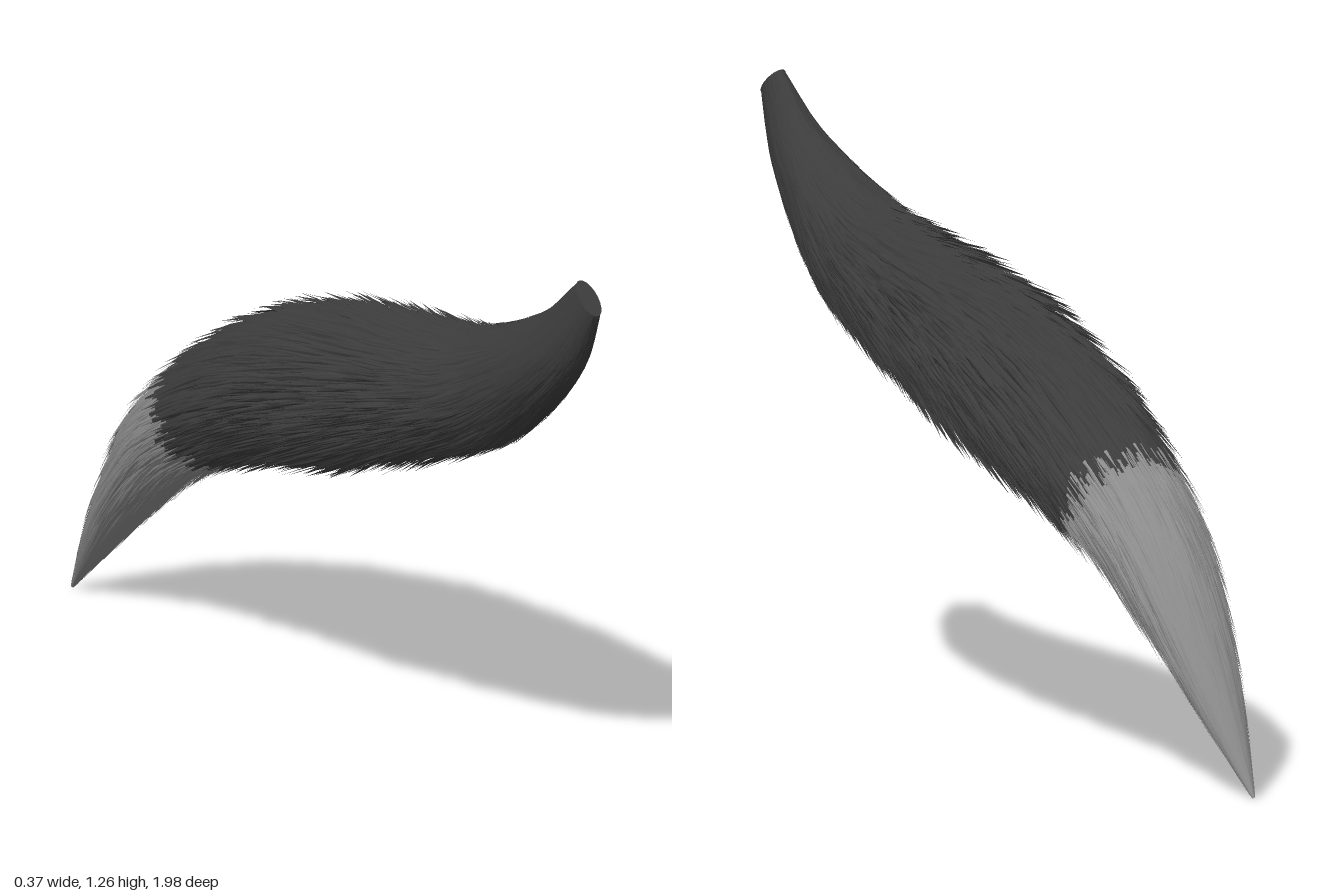
import * as THREE from 'three';

// spine stations: z, y, half width, half thickness
const STATIONS = [
  [0.952, 1.23, 0.022, 0.045], [0.83, 1.085, 0.062, 0.08], [0.6, 0.935, 0.118, 0.125],
  [0.4, 0.865, 0.148, 0.152], [0.2, 0.81, 0.165, 0.172], [0, 0.75, 0.174, 0.182],
  [-0.2, 0.68, 0.172, 0.168], [-0.4, 0.585, 0.155, 0.14], [-0.6, 0.455, 0.125, 0.105],
  [-0.8, 0.245, 0.075, 0.055], [-0.99, 0.005, 0.004, 0.004],
];
const spine = new THREE.CatmullRomCurve3(STATIONS.map(([z, y]) => new THREE.Vector3(0, y, z)), false, 'catmullrom');
const girth = new THREE.CatmullRomCurve3(STATIONS.map(([, , w, h]) => new THREE.Vector3(w, h, 0)), false, 'catmullrom');
const COLOUR_SPLIT = 0.735;

// cross-section frames, sampled once along the tail
const FRAMES = 500;
const frames = Array.from({ length: FRAMES + 1 }, (_, i) => {
  const t = i / FRAMES, p = spine.getPoint(t), d = spine.getTangent(t), g = girth.getPoint(t);
  return { y: p.y, z: p.z, ny: -d.z, nz: d.y, w: g.x, h: g.y };
});

// point at spine parameter t, angle a, radius factor f
function onTail(t, a, f) {
  const k = frames[Math.round(THREE.MathUtils.clamp(t, 0, 1) * FRAMES)];
  const n = Math.sin(a) * k.h * f;
  return [Math.cos(a) * k.w * f, k.y + k.ny * n, k.z + k.nz * n];
}

function seeded(seed) {
  return () => {
    seed = (seed + 0x6d2b79f5) | 0;
    let r = Math.imul(seed ^ (seed >>> 15), 1 | seed);
    r = (r + Math.imul(r ^ (r >>> 7), 61 | r)) ^ r;
    return ((r ^ (r >>> 14)) >>> 0) / 4294967296;
  };
}

function quad(out, a, b, c, d) {
  out.push(...a, ...b, ...c, ...a, ...c, ...d);
}

function toMesh(name, positions, material) {
  const g = new THREE.BufferGeometry();
  g.setAttribute('position', new THREE.Float32BufferAttribute(positions, 3));
  g.computeVertexNormals();
  const m = new THREE.Mesh(g, material);
  m.name = name;
  return m;
}

// solid body under the fur, between two spine parameters
function coreStrip(t0, t1, rings) {
  const out = [], sides = 20;
  const f = t => 0.96 - 0.18 * Math.min(1, t * 5);
  for (let i = 0; i < rings; i++) {
    const ta = t0 + (t1 - t0) * i / rings, tb = t0 + (t1 - t0) * (i + 1) / rings;
    for (let j = 0; j < sides; j++) {
      const a = j / sides * Math.PI * 2, b = (j + 1) / sides * Math.PI * 2;
      quad(out, onTail(ta, a, f(ta)), onTail(tb, a, f(tb)), onTail(tb, b, f(tb)), onTail(ta, b, f(ta)));
    }
  }
  return out;
}

// tapered, ridged hair locks that lie along the body and lift at their tips
function furLocks(count) {
  const dark = [], pale = [], rand = seeded(7), steps = 4;
  for (let i = 0; i < count; i++) {
    const root = 0.89 * (i + rand()) / count;
    const angle = rand() * Math.PI * 2;
    const length = 0.085 + 0.06 * rand();
    const drift = (rand() - 0.5) * 0.16;
    const half = 0.006 + 0.004 * rand();
    const calm = Math.min(1, root * 4);
    const rootF = 0.95 - 0.18 * calm;
    const tipF = 1 + calm * (rand() * 0.2 - 0.13);
    const twist = (rand() - 0.5) * 0.08;
    const section = s => {
      const t = Math.min(1, root + length * s);
      const k = frames[Math.round(t * FRAMES)];
      const r = Math.max(0.03, (k.w + k.h) / 2);
      const spread = Math.min(0.35, half / r) * (1 - s) ** 0.7;
      const a = angle + drift * s, f = rootF + (tipF - rootF) * s;
      return [
        onTail(t, a - spread, f - twist * (1 - s)),
        onTail(t, a, f + 0.025 * (1 - s)),
        onTail(t, a + spread, f + twist * (1 - s)),
      ];
    };
    for (let j = 0; j < steps; j++) {
      const out = root + length * (j + 0.5) / steps < COLOUR_SPLIT ? dark : pale;
      const p = section(j / steps), q = section((j + 1) / steps);
      for (let e = 0; e < 2; e++) {
        if (j < steps - 1) quad(out, p[e], q[e], q[e + 1], p[e + 1]);
        else out.push(...p[e], ...q[1], ...p[e + 1]);
      }
    }
  }
  return { dark, pale };
}

// closed end of the tail root
function rootCap() {
  const out = [], sides = 20, k = frames[0];
  for (let j = 0; j < sides; j++) {
    const a = j / sides * Math.PI * 2, b = (j + 1) / sides * Math.PI * 2;
    out.push(0, k.y, k.z, ...onTail(0, a, 1), ...onTail(0, b, 1));
  }
  return out;
}

export function createModel() {
  const darkFur = new THREE.MeshStandardMaterial({ color: 0x3c3c3c, side: THREE.DoubleSide });
  darkFur.name = 'dark fur';
  const paleFur = new THREE.MeshStandardMaterial({ color: 0x8c8c8c, side: THREE.DoubleSide });
  paleFur.name = 'pale fur';

  const tail = new THREE.Group();
  tail.name = 'furryTail';
  const locks = furLocks(6800);
  tail.add(
    toMesh('bodyCore', coreStrip(0, COLOUR_SPLIT, 30), darkFur),
    toMesh('tipCore', coreStrip(COLOUR_SPLIT, 1, 12), paleFur),
    toMesh('rootCap', rootCap(), darkFur),
    toMesh('bodyFur', locks.dark, darkFur),
    toMesh('tipFur', locks.pale, paleFur),
  );
  return tail;
}
